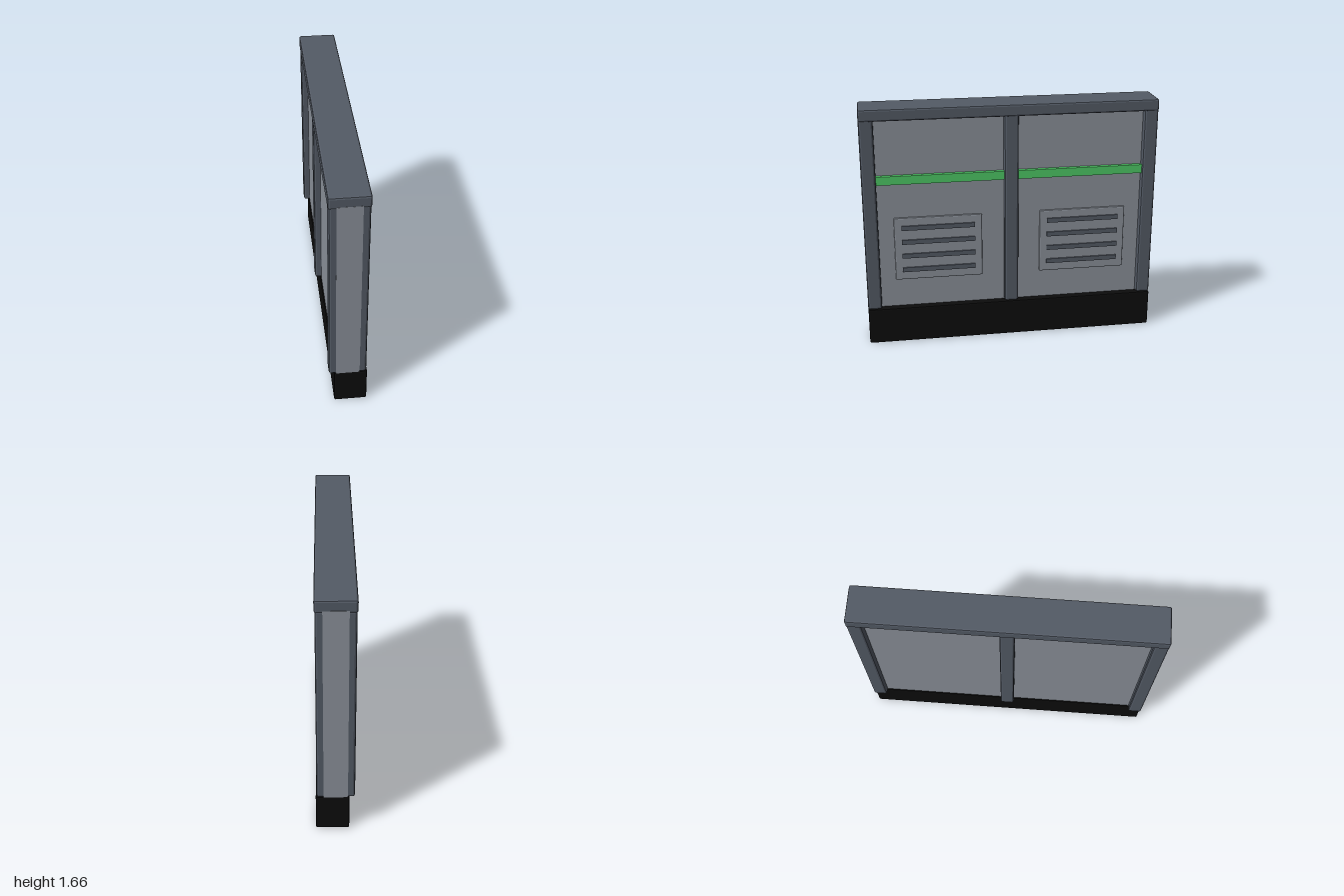
import * as THREE from 'three';
import { RoundedBoxGeometry } from 'three/addons/geometries/RoundedBoxGeometry.js';

const material = (name, color) => new THREE.MeshStandardMaterial({ name, color });

export function createModel() {
  const model = new THREE.Group();
  model.name = 'barrierWall';

  const frame = material('slate frame', 0x545b66);
  const panel = material('light grey panel', 0x8c929b);
  const green = material('green strip', 0x4fcb67);
  const black = material('black base', 0x0c0c0c);

  // Box from its limits on each axis, with an optional chamfer on every edge
  function addBox(name, mat, [x0, x1], [y0, y1], [z0, z1], chamfer = 0) {
    const size = [x1 - x0, y1 - y0, z1 - z0];
    const geometry = chamfer
      ? new RoundedBoxGeometry(...size, 1, chamfer)
      : new THREE.BoxGeometry(...size);
    if (chamfer) geometry.computeVertexNormals(); // flat facets
    const mesh = new THREE.Mesh(geometry, mat);
    mesh.name = name;
    mesh.position.set((x0 + x1) / 2, (y0 + y1) / 2, (z0 + z1) / 2);
    model.add(mesh);
  }

  // Plinth, core panel and top rail
  addBox('base', black, [-0.09, 0.125], [0, 0.255], [-1, 1], 0.01);
  addBox('corePanel', panel, [-0.08, 0.075], [0.255, 1.6], [-1.001, 1.001]);
  addBox('topRail', frame, [-0.13, 0.125], [1.585, 1.665], [-1, 1], 0.012);

  // Two end posts and a middle post
  for (const [z0, z1] of [[-1, -0.905], [-0.048, 0.048], [0.905, 1]]) {
    addBox('post', frame, [-0.125, 0.12], [0.255, 1.6], [z0, z1], 0.014);
  }

  // Each bay has a green strip and a louvred vent
  for (const side of [-1, 1]) {
    const middle = side * 0.5;
    addBox('greenStrip', green, [0.07, 0.105], [1.148, 1.207], [side * 0.477 - 0.433, side * 0.477 + 0.433]);
    addBox('ventPlate', panel, [0.06, 0.09], [0.455, 0.905], [middle - 0.3, middle + 0.3], 0.007);
    for (let i = 0; i < 4; i++) {
      const y = 0.53 + i * 0.101;
      addBox('ventSlat', frame, [0.08, 0.1], [y - 0.016, y + 0.016], [middle - 0.25, middle + 0.25]);
    }
  }
  return model;
}
